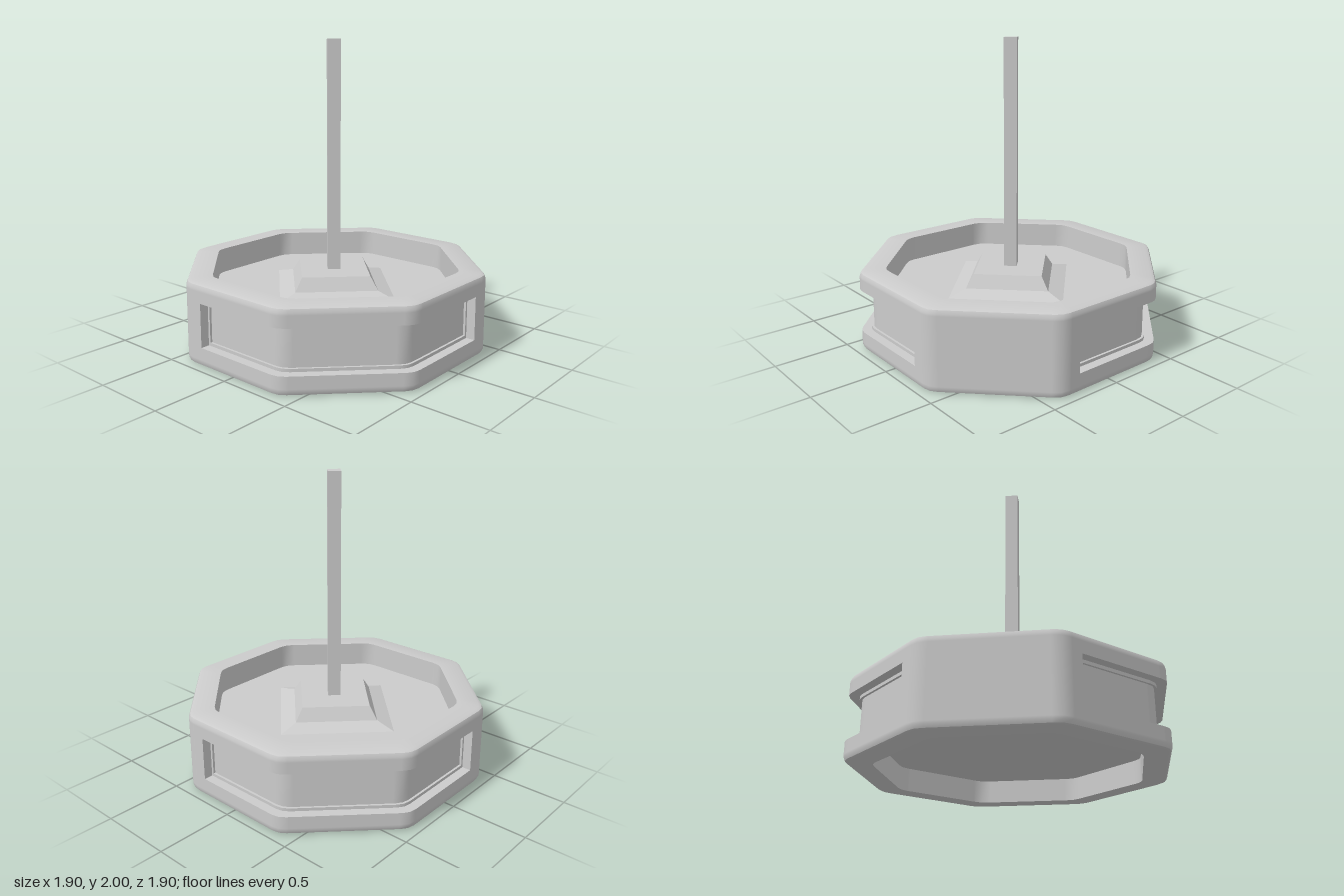
import * as THREE from 'three';
import { toCreasedNormals } from 'three/addons/utils/BufferGeometryUtils.js';

const material = new THREE.MeshStandardMaterial({ color: 0xcccccc });
const PER_SIDE = 7;

// Softened octagon at height y; apothem a, and fixed points at +-t along each side
function ring(a, y, t = 0.26) {
  if (a === 0) return Array.from({ length: 8 * PER_SIDE }, () => [0, y, 0]);
  const half = a * Math.tan(Math.PI / 8);
  const cut = half - 0.05;
  const points = [];
  for (let k = 0; k < 8; k++) {
    const at = (side, s) => {
      const ang = side * Math.PI / 4;
      return [a * Math.sin(ang) + s * Math.cos(ang), y, a * Math.cos(ang) - s * Math.sin(ang)];
    };
    const p = at(k, cut), c = at(k, half), q = at(k + 1, -cut);
    const mid = p.map((v, i) => 0.25 * v + 0.5 * c[i] + 0.25 * q[i]);
    points.push(at(k, -t), at(k, t), at(k, cut - 0.015), p, mid, q, at(k + 1, -cut + 0.015));
  }
  return points;
}

function quad(out, a, b, c, d) {
  out.push(...a, ...b, ...c, ...a, ...c, ...d);
}

function toMesh(name, positions, crease = 0.6) {
  const geometry = new THREE.BufferGeometry();
  geometry.setAttribute('position', new THREE.Float32BufferAttribute(positions, 3));
  const mesh = new THREE.Mesh(toCreasedNormals(geometry, crease), material);
  mesh.name = name;
  return mesh;
}

// Each window runs over three sides: from index start to start + WINDOW_SPAN
const WINDOW_STARTS = [0, 4 * PER_SIDE];
const WINDOW_SPAN = 2 * PER_SIDE + 1;
const WINDOW_LOW = 0.125, WINDOW_HIGH = 0.41;

// Octagonal basin with a hollow underside and a sunken floor
function basin() {
  const rings = [
    [0, 0.15], [0.79, 0.15], [0.79, 0], [0.92, 0], [0.941, 0.009], [0.95, 0.03], [0.95, 0.045],
    [0.95, WINDOW_LOW], [0.95, WINDOW_HIGH],
    [0.95, 0.485], [0.95, 0.5], [0.941, 0.521], [0.92, 0.53], [0.79, 0.53], [0.79, 0.36], [0, 0.36],
  ].map(([a, y]) => ring(a, y));
  const count = 8 * PER_SIDE;
  const out = [];
  for (let j = 0; j < rings.length - 1; j++) {
    for (let i = 0; i < count; i++) {
      const inWindow = WINDOW_STARTS.some((s) => i >= s && i < s + WINDOW_SPAN);
      if (j === 7 && inWindow) continue;
      const n = (i + 1) % count;
      quad(out, rings[j][i], rings[j][n], rings[j + 1][n], rings[j + 1][i]);
    }
  }
  return toMesh('basin', out);
}

// Recessed panel with a stepped frame, wrapping round two corners
function windowRecess(start) {
  const rings = [
    [0.95, WINDOW_LOW, 0.26], [0.89, WINDOW_LOW, 0.26], [0.89, 0.145, 0.245], [0.875, 0.145, 0.245],
    [0.875, 0.39, 0.245], [0.89, 0.39, 0.245], [0.89, WINDOW_HIGH, 0.26], [0.95, WINDOW_HIGH, 0.26],
  ].map((r) => ring(...r));
  const end = start + WINDOW_SPAN;
  const out = [];
  for (let j = 0; j < 7; j++) {
    for (let i = start; i < end; i++) {
      quad(out, rings[j][i], rings[j][i + 1], rings[j + 1][i + 1], rings[j + 1][i]);
    }
  }
  // end walls
  for (let k = 0; k < 3; k++) {
    const corners = (i) => [rings[k][i], rings[k + 1][i], rings[6 - k][i], rings[7 - k][i]];
    quad(out, ...corners(start));
    quad(out, ...corners(end).reverse());
  }
  return toMesh('sidePanel', out);
}

// Four-sided tapered block with its corners on the x and z axes
function diamondBlock(name, topRadius, bottomRadius, y0, y1) {
  const geometry = new THREE.CylinderGeometry(topRadius, bottomRadius, y1 - y0, 4);
  geometry.translate(0, (y0 + y1) / 2, 0);
  const mesh = new THREE.Mesh(toCreasedNormals(geometry, 0.3), material);
  mesh.name = name;
  return mesh;
}

export function createModel() {
  const group = new THREE.Group();
  group.name = 'octagonalBasinWithPole';
  group.add(basin());
  for (const start of WINDOW_STARTS) group.add(windowRecess(start));
  group.add(
    diamondBlock('plinthSkirt', 0.38, 0.52, 0.36, 0.395),
    diamondBlock('plinth', 0.315, 0.38, 0.395, 0.48),
    diamondBlock('pole', 0.06, 0.06, 0.48, 2),
  );
  return group;
}
